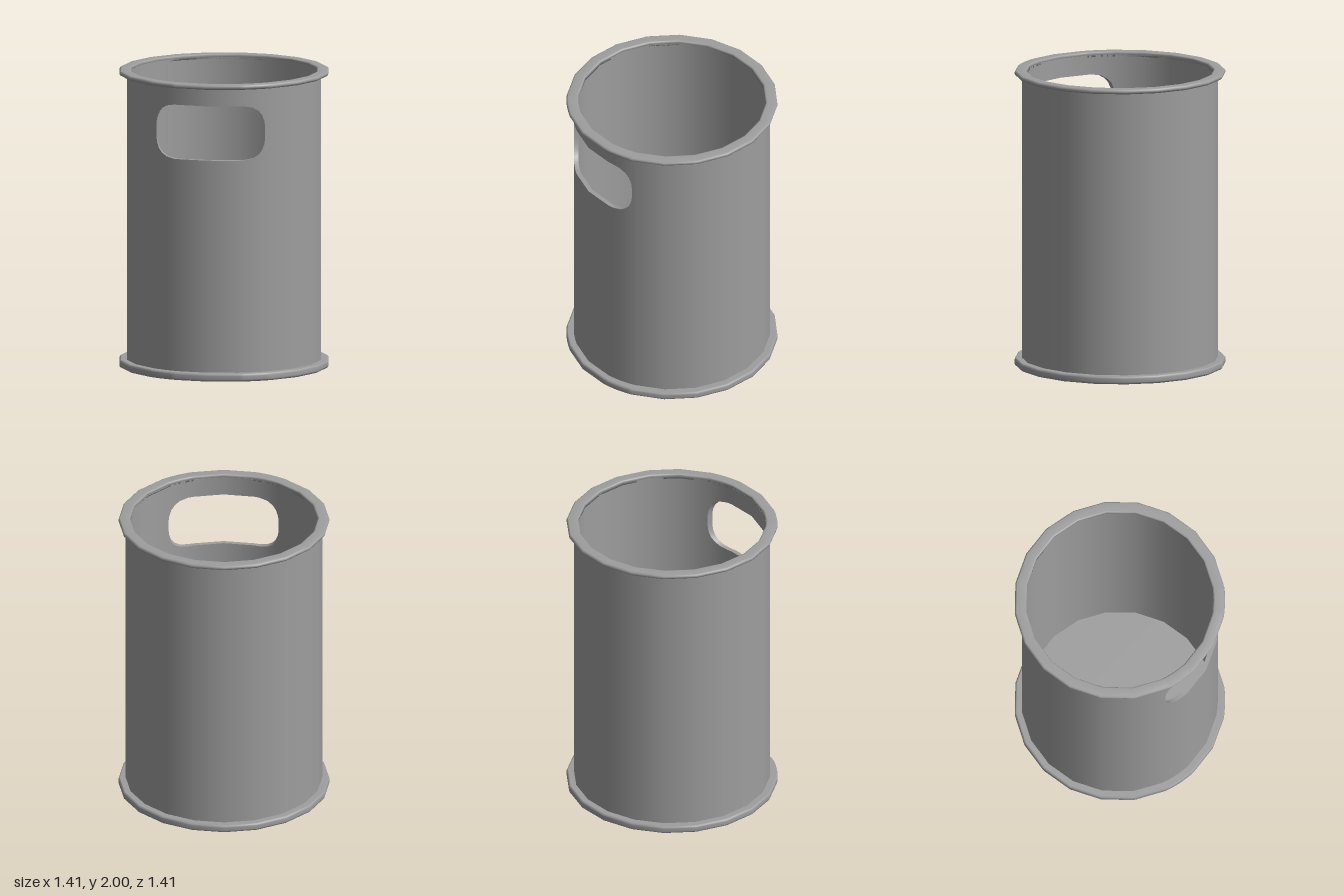
import * as THREE from 'three';
import { mergeVertices, toCreasedNormals } from 'three/addons/utils/BufferGeometryUtils.js';

const R_OUT = 0.655, R_IN = 0.625, R_RIM = 0.704;   // wall and rim radii
const MID = 1.667;                                  // height of the hand hole's centre

// Right half of the hand hole: [x, half height], from its end to its middle
const HOLE = [[0.367, 0], [0.367, 0.04], [0.362, 0.08], [0.348, 0.12],
  [0.325, 0.15], [0.29, 0.172], [0.235, 0.183], [0.202, 0.183]];

// Columns around the bin: outer angle a, inner angle b (the hole is cut
// straight through along z) and half height h of the hole there
function makeColumns() {
  const right = HOLE.map(([x, h]) => ({ a: Math.asin(x / R_OUT), b: Math.asin(x / R_IN), h }));
  const left = right.map(({ a, b, h }) => ({ a: -a, b: -b, h }));
  const rest = [];
  for (let i = 2; i <= 18; i++) rest.push({ a: i * Math.PI / 10, b: i * Math.PI / 10, h: 0 });
  const first = left[0], turn = Math.PI * 2;
  return [...left, { a: 0, b: 0, h: 0.183 }, ...right.reverse(), ...rest,
    { a: first.a + turn, b: first.b + turn, h: 0 }];
}

// Sweep a closed counter-clockwise [radius, y, angle] section around the columns
function sweep(columns, section) {
  const pos = [];
  const rings = columns.map((col) => section(col).map(
    ([r, y, a = col.a]) => new THREE.Vector3(r * Math.sin(a), y, r * Math.cos(a))));
  const tri = (a, b, c) => {
    const area = new THREE.Vector3().subVectors(b, a)
      .cross(new THREE.Vector3().subVectors(c, a)).length();
    if (area > 1e-9) for (const p of [a, b, c]) pos.push(p.x, p.y, p.z);
  };
  for (let i = 0; i < rings.length - 1; i++) {
    const A = rings[i], B = rings[i + 1];
    for (let j = 0; j < A.length; j++) {
      const k = (j + 1) % A.length;
      // no faces inside the wall where its two halves meet
      if ([A[j], A[k], B[j], B[k]].every((p) => p.y === MID)) continue;
      tri(A[j], B[j], B[k]);
      tri(A[j], B[k], A[k]);
    }
  }
  const geo = new THREE.BufferGeometry();
  geo.setAttribute('position', new THREE.Float32BufferAttribute(pos, 3));
  return geo;
}

// Smooth all over, so that rounded edges run softly into the flat faces
function soften(geo) {
  const smooth = mergeVertices(geo);
  smooth.computeVertexNormals();
  return smooth;
}

// Sharp hole edges, but truly round inner and outer wall faces
function roundWall(geo) {
  const out = toCreasedNormals(geo, 0.7);
  const p = out.attributes.position, n = out.attributes.normal;
  const radial = new THREE.Vector3(), normal = new THREE.Vector3();
  for (let i = 0; i < p.count; i++) {
    radial.set(p.getX(i), 0, p.getZ(i)).normalize();
    const d = normal.fromBufferAttribute(n, i).dot(radial);
    if (Math.abs(d) > 0.8) {
      radial.multiplyScalar(Math.sign(d));
      n.setXYZ(i, radial.x, 0, radial.z);
    }
  }
  return out;
}

export function createModel() {
  const group = new THREE.Group();
  const material = new THREE.MeshStandardMaterial({ color: 0x9e9e9e });
  const columns = makeColumns();
  const add = (name, finish, section) => {
    const mesh = new THREE.Mesh(finish(sweep(columns, section)), material);
    mesh.name = name;
    group.add(mesh);
  };

  // Wall below and above the middle of the hand hole
  const wall = (y0, y1, b) => [[R_OUT, y0], [R_OUT, y1], [R_IN, y1, b], [R_IN, y0, b]];
  add('lowerWall', roundWall, ({ b, h }) => wall(0.03, MID - h, b));
  add('upperWall', roundWall, ({ b, h }) => wall(MID + h, 1.98, b));

  // Rounded lip around the open top
  add('topRim', soften, () => [
    [R_IN, 1.968], [R_RIM - 0.012, 1.968], [R_RIM - 0.003, 1.974], [R_RIM, 1.984],
    [R_RIM - 0.003, 1.994], [R_RIM - 0.012, 2], [0.637, 2], [0.628, 1.997], [R_IN, 1.99],
  ]);

  // Solid base with a rounded edge, its top forming the floor
  add('base', soften, () => [
    [0, 0], [R_RIM - 0.012, 0], [R_RIM - 0.003, 0.006], [R_RIM, 0.016],
    [R_RIM, 0.038], [R_RIM - 0.003, 0.048], [R_RIM - 0.012, 0.054], [0, 0.054],
  ]);

  return group;
}
